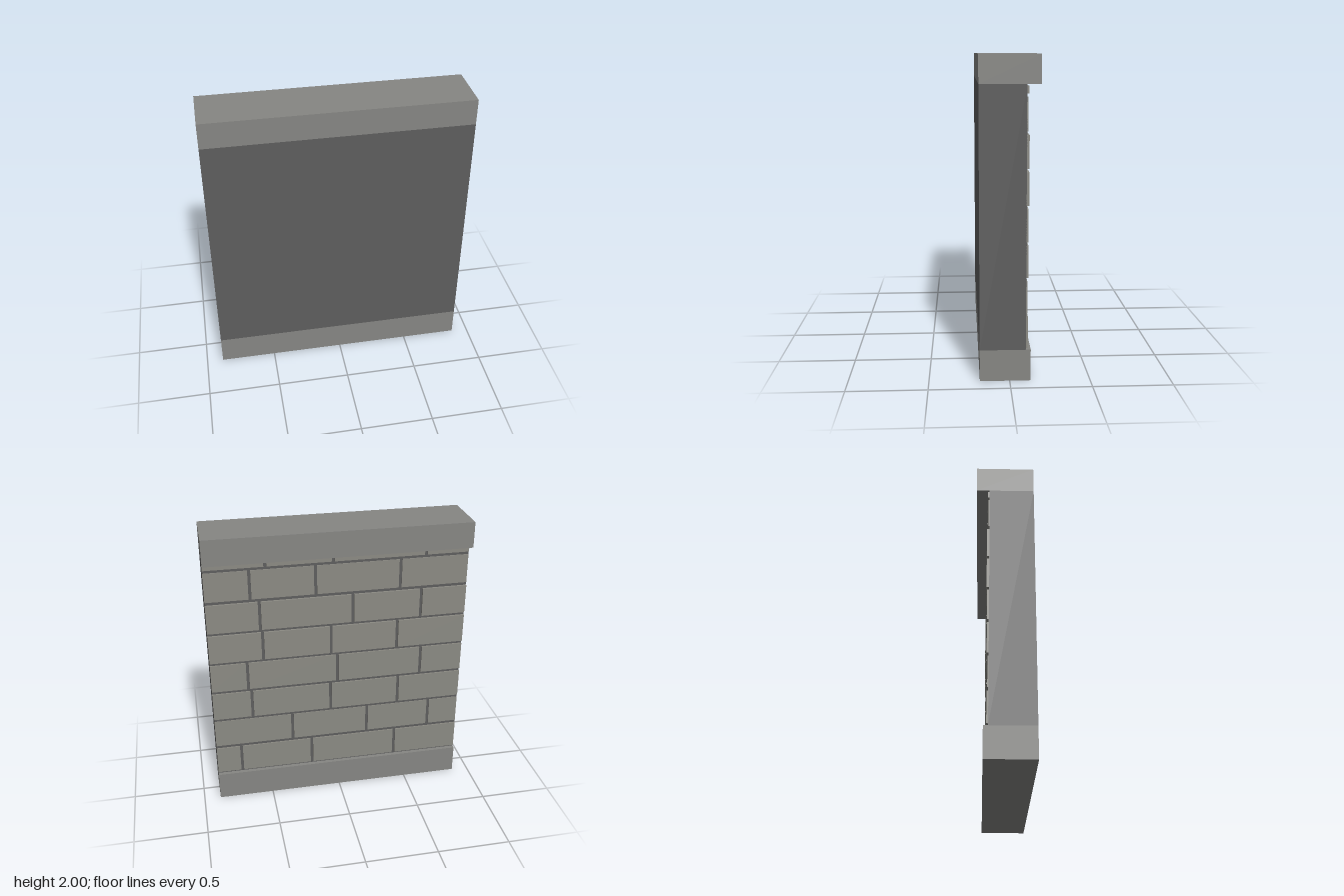
import * as THREE from 'three';

const HALF = 0.885;   // half the wall width
const FRONT = 0.185;  // shared flush front plane
const GAP = 0.02;     // mortar joint

const stone = new THREE.MeshStandardMaterial({ color: 0x868683 });
const mortar = new THREE.MeshStandardMaterial({ color: 0x5e5e5e });
const brickMat = new THREE.MeshStandardMaterial({ color: 0x8b8a83 });

// Box given by its extents along each axis
function slab(name, material, x0, x1, y0, y1, z0, z1) {
  const mesh = new THREE.Mesh(new THREE.BoxGeometry(x1 - x0, y1 - y0, z1 - z0), material);
  mesh.position.set((x0 + x1) / 2, (y0 + y1) / 2, (z0 + z1) / 2);
  mesh.name = name;
  return mesh;
}

// Courses from the bottom: x of the upright joints, and z of the brick faces
const courses = [
  { joints: [-0.415, 0.2, 0.71], face: -0.111 },
  { joints: [-0.665, -0.206, 0.336], face: -0.107 },
  { joints: [-0.428, 0.06, 0.614], face: -0.112 },
  { joints: [-0.585, 0.011, 0.634], face: -0.112 },
  { joints: [-0.407, 0.055, 0.521], face: -0.116 },
  { joints: [-0.568, -0.094, 0.533], face: -0.116 },
  { joints: [-0.419, 0.156, 0.59], face: -0.108 },
  { joints: [-0.59, 0.038, 0.485], face: -0.112 },
];

export function createModel() {
  const wall = new THREE.Group();
  wall.name = 'brickWall';

  // Plinth, mortar core and overhanging coping
  wall.add(slab('base', stone, -HALF, HALF, 0, 0.2, -0.13, FRONT));
  wall.add(slab('core', mortar, -HALF, HALF, 0.2, 1.825, -0.102, FRONT));
  wall.add(slab('coping', stone, -HALF, HALF, 1.825, 2, -0.185, FRONT));

  // Brick facing on the back; the last course is cut short under the coping
  const bricks = new THREE.Group();
  bricks.name = 'bricks';
  courses.forEach(({ joints, face }, row) => {
    const y0 = 0.212 + row * 0.2227;
    const y1 = Math.min(y0 + 0.202, 1.815);
    const edges = [-HALF - GAP / 2, ...joints, HALF + GAP / 2];
    for (let i = 0; i < edges.length - 1; i++) {
      bricks.add(slab('brick', brickMat, edges[i] + GAP / 2, edges[i + 1] - GAP / 2, y0, y1, face, -0.1));
    }
  });
  wall.add(bricks);
  return wall;
}
